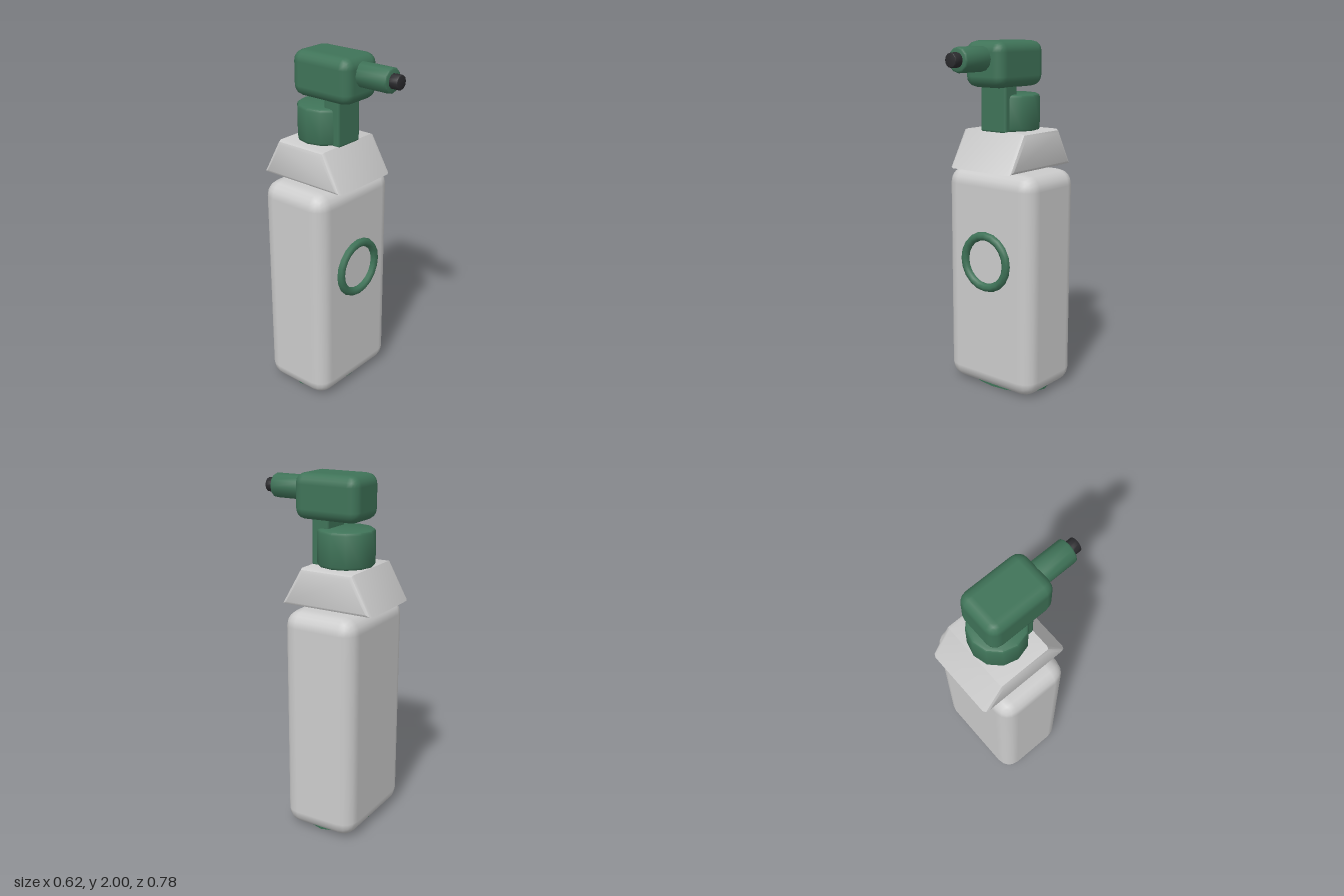
import * as THREE from 'three';
import { RoundedBoxGeometry } from 'three/addons/geometries/RoundedBoxGeometry.js';
import { toCreasedNormals } from 'three/addons/utils/BufferGeometryUtils.js';

const grey = new THREE.MeshStandardMaterial({ color: 0xcccccc });
const green = new THREE.MeshStandardMaterial({ color: 0x3f7358 });
const dark = new THREE.MeshStandardMaterial({ color: 0x2b2b2e });

export function createModel() {
  const model = new THREE.Group();
  model.name = 'sprayBottle';

  const add = (name, geometry, material, x, y, z) => {
    const mesh = new THREE.Mesh(geometry, material);
    mesh.name = name;
    mesh.position.set(x, y, z);
    model.add(mesh);
    return mesh;
  };

  // Rounded box given by its lower and upper limits in y and z, centred on x
  const roundedBox = (name, material, width, [y0, y1], [z0, z1], radius, segments = 2) =>
    add(name, new RoundedBoxGeometry(width, y1 - y0, z1 - z0, segments, radius),
      material, 0, (y0 + y1) / 2, (z0 + z1) / 2);

  // Closed cylinder with softened rims, standing on its origin
  const softCylinder = (radius, height, rim, sides) => {
    const k = rim * 0.3;
    const profile = [
      [0, 0], [radius - rim, 0], [radius - k, k], [radius, rim],
      [radius, height - rim], [radius - k, height - k], [radius - rim, height], [0, height],
    ].map(([r, y]) => new THREE.Vector2(r, y));
    return toCreasedNormals(new THREE.LatheGeometry(profile, sides), 0.8);
  };

  // Bottle body
  roundedBox('body', grey, 0.62, [0.005, 1.29], [-0.315, 0.125], 0.09);

  // Oval pad under the body
  const pad = add('basePad', new THREE.CylinderGeometry(1, 1, 0.012, 16), green, 0, 0.006, -0.095);
  pad.scale.set(0.26, 1, 0.17);

  // Ring on the front
  add('frontRing', new THREE.TorusGeometry(0.15, 0.025, 8, 20), green, 0, 0.775, 0.13);

  // Sloped shoulder: trapezoid extruded across x, with softened edges
  const bevel = 0.025;
  const side = new THREE.Shape([
    [0.15, 1.29 + bevel], [-0.345, 1.29 + bevel], [-0.245, 1.51 - bevel], [0.045, 1.51 - bevel],
  ].map(([z, y]) => new THREE.Vector2(-z, y)));
  const shoulder = new THREE.ExtrudeGeometry(side, {
    depth: 0.44 - 2 * bevel, bevelEnabled: true, bevelSize: bevel, bevelThickness: bevel, bevelSegments: 2,
  });
  shoulder.translate(0, 0, -0.22 + bevel);
  shoulder.rotateY(Math.PI / 2);
  add('shoulder', toCreasedNormals(shoulder, 0.7), grey, 0, 0, 0);

  // Collar and neck
  add('collar', softCylinder(0.16, 0.205, 0.018, 12), green, 0, 1.505, -0.1);
  roundedBox('neck', green, 0.18, [1.5, 1.77], [-0.04, 0.065], 0.015);

  // Pump head
  roundedBox('head', green, 0.27, [1.75, 2.0], [-0.235, 0.16], 0.06);

  // Nozzle and its dark tip, both pointing forward
  const nozzle = add('nozzle', softCylinder(0.068, 0.23, 0.012, 12), green, 0, 1.905, 0.12);
  const tip = add('nozzleTip', softCylinder(0.04, 0.07, 0.006, 12), dark, 0, 1.905, 0.33);
  for (const part of [nozzle, tip]) part.rotation.x = Math.PI / 2;

  return model;
}
